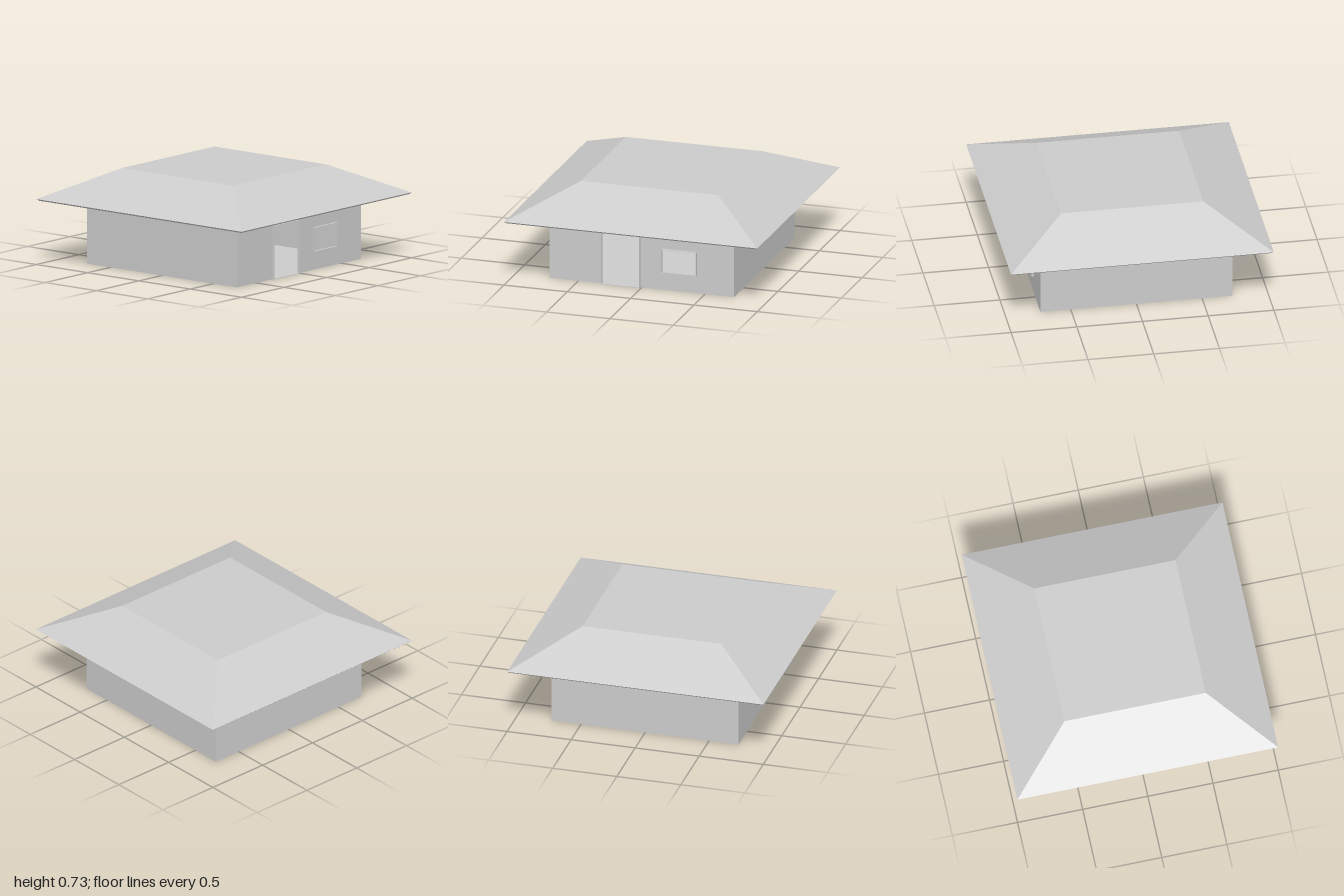
import * as THREE from 'three';

const W = 0.73;      // half width of the walls
const H = 0.487;     // wall height, up to the underside of the roof
const OUT = 0.02;    // how far the opening surrounds stand out
const DOOR = { z0: 0.01, z1: 0.315, y0: 0, y1: 0.41 };
const WINDOW = { z0: -0.435, z1: -0.16, y0: 0.14, y1: 0.325 };

const sheet = new THREE.MeshStandardMaterial({ color: 0xcccccc, flatShading: true, side: THREE.DoubleSide });
const solid = new THREE.MeshStandardMaterial({ color: 0xcccccc, flatShading: true });

function add(parent, name, geometry, material) {
  const mesh = new THREE.Mesh(geometry, material);
  mesh.name = name;
  parent.add(mesh);
  return mesh;
}

// Thin four-sided surround standing out from the left wall
function surround(name, { z0, z1, y0, y1 }) {
  const t = 0.004, group = new THREE.Group();
  group.name = name;
  const w = z1 - z0, h = y1 - y0, x = W + OUT / 2;
  for (const z of [z0 + t / 2, z1 - t / 2]) {
    add(group, 'jamb', new THREE.BoxGeometry(OUT, h, t), solid).position.set(x, y0 + h / 2, z);
  }
  for (const y of [y0 + t / 2, y1 - t / 2]) {
    add(group, y < y0 + h / 2 ? 'sill' : 'head', new THREE.BoxGeometry(OUT, t, w - 2 * t), solid)
      .position.set(x, y, z0 + w / 2);
  }
  return group;
}

export function createModel() {
  const model = new THREE.Group();
  model.name = 'house';

  // Plain walls: front, back and right
  [['frontWall', 0], ['backWall', Math.PI], ['rightWall', -Math.PI / 2]].forEach(([name, turn]) => {
    const g = new THREE.PlaneGeometry(2 * W, H).translate(0, H / 2, W).rotateY(turn);
    add(model, name, g, sheet);
  });

  // Left wall, notched for the door and pierced by the window (shape x = -z)
  const wall = new THREE.Shape([
    [-W, 0], [-DOOR.z1, 0], [-DOOR.z1, DOOR.y1], [-DOOR.z0, DOOR.y1],
    [-DOOR.z0, 0], [W, 0], [W, H], [-W, H],
  ].map(([x, y]) => new THREE.Vector2(x, y)));
  wall.holes.push(new THREE.Path([
    [-WINDOW.z1, WINDOW.y0], [-WINDOW.z1, WINDOW.y1],
    [-WINDOW.z0, WINDOW.y1], [-WINDOW.z0, WINDOW.y0],
  ].map(([x, y]) => new THREE.Vector2(x, y))));
  add(model, 'leftWall', new THREE.ShapeGeometry(wall).rotateY(Math.PI / 2).translate(W, 0, 0), sheet);

  // Floor
  add(model, 'floor', new THREE.PlaneGeometry(2 * W, 2 * W).rotateX(-Math.PI / 2), sheet);

  // Door and window surrounds
  model.add(surround('doorFrame', DOOR), surround('windowFrame', WINDOW));

  // Hipped roof with a flat top and a narrow chamfered eave
  const profile = [[0, H], [0.985, H], [1, 0.5], [0.542, 0.727], [0, 0.727]]
    .map(([r, y]) => new THREE.Vector2(r * Math.SQRT2, y));
  add(model, 'roof', new THREE.LatheGeometry(profile, 4, Math.PI / 4), solid);

  return model;
}
